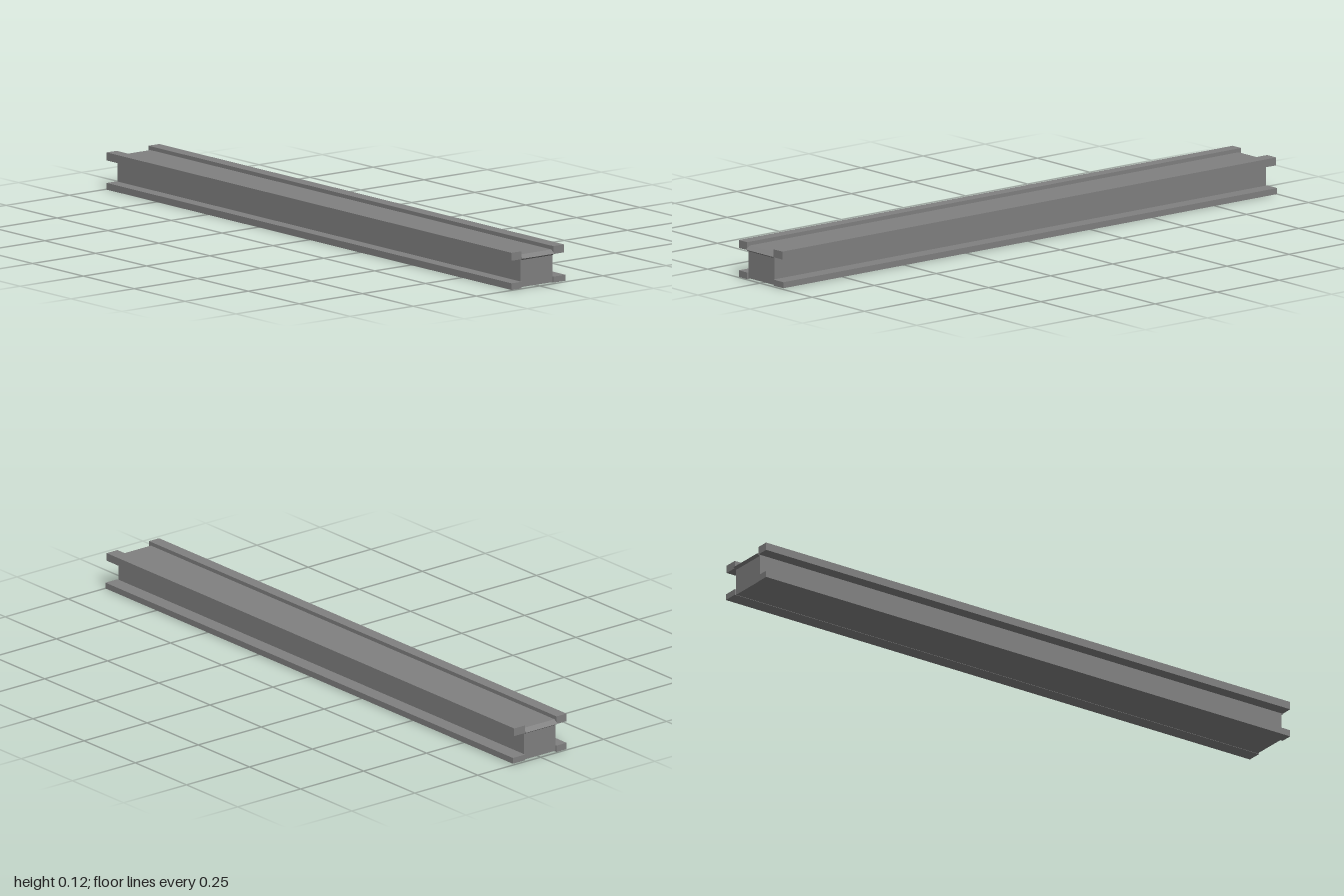
import * as THREE from 'three';

const HALF = 0.995; // half length of the rails and feet

export function createModel() {
  const model = new THREE.Group();
  model.name = 'railBeam';
  const grey = new THREE.MeshStandardMaterial({ color: 0x808080 });
  grey.name = 'steelGrey';

  // Full-length bar between two corners of its cross-section
  const bar = (name, x0, x1, y0, y1) => {
    const mesh = new THREE.Mesh(new THREE.BoxGeometry(x1 - x0, y1 - y0, HALF * 2), grey);
    mesh.position.set((x0 + x1) / 2, (y0 + y1) / 2, 0);
    mesh.name = name;
    model.add(mesh);
  };
  bar('rightFoot', -0.107, -0.067, 0, 0.021);
  bar('leftFoot', 0.058, 0.106, 0.002, 0.021);
  bar('rightTopRail', -0.107, -0.067, 0.092, 0.117);
  bar('leftTopRail', 0.058, 0.101, 0.092, 0.117);

  // Core: side profile with a small pointed nose at each end, extruded across x
  const end = [[0.99, 0.003], [0.99, 0.088], [1, 0.094], [0.985, 0.105]];
  const points = [...end, ...end.map(([z, y]) => [-z, y]).reverse()];
  const profile = new THREE.Shape(points.map(([z, y]) => new THREE.Vector2(z, y)));
  const geometry = new THREE.ExtrudeGeometry(profile, { depth: 0.125, bevelEnabled: false });
  geometry.rotateY(-Math.PI / 2).translate(0.058, 0, 0);
  const core = new THREE.Mesh(geometry, grey);
  core.name = 'core';
  model.add(core);

  return model;
}
